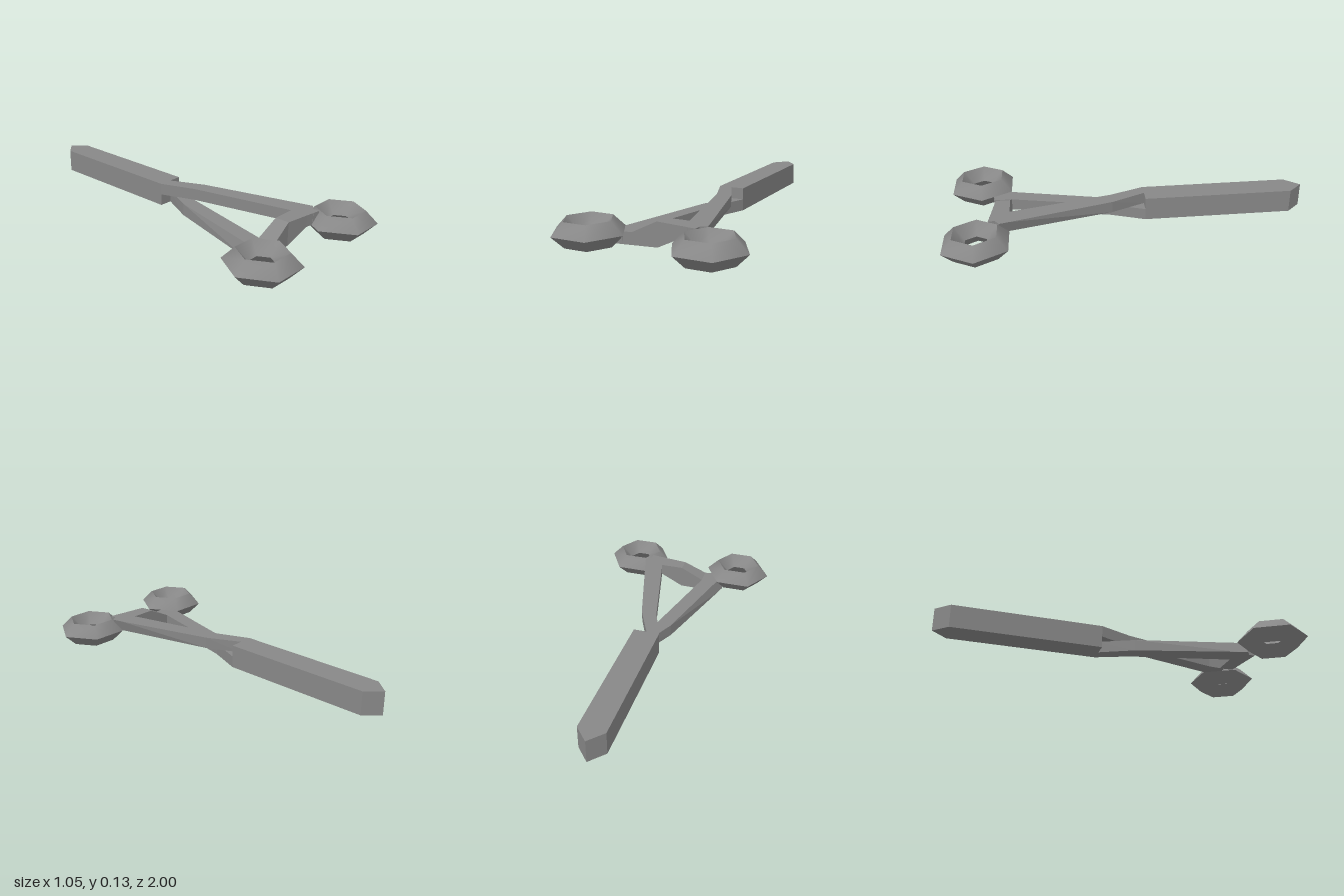
import * as THREE from 'three';
import { toCreasedNormals } from 'three/addons/utils/BufferGeometryUtils.js';

const H = 0.13, M = H / 2; // full thickness and mid height

// Solid through four-cornered sections, flat shaded
function loft(sections) {
  const pos = [];
  const quad = (a, b, c, d) => pos.push(...a, ...b, ...c, ...a, ...c, ...d);
  for (let i = 0; i < sections.length - 1; i++) {
    const s = sections[i], e = sections[i + 1];
    for (let j = 0; j < 4; j++) {
      const k = (j + 1) % 4;
      quad(s[j], s[k], e[k], e[j]);
    }
  }
  quad(...[...sections[0]].reverse());
  quad(...sections[sections.length - 1]);
  const g = new THREE.BufferGeometry();
  g.setAttribute('position', new THREE.Float32BufferAttribute(pos, 3));
  g.computeVertexNormals();
  return g;
}

export function createModel() {
  const model = new THREE.Group();
  model.name = 'surgicalClamp';
  const steel = new THREE.MeshStandardMaterial({ color: 0x888888 });
  steel.name = 'steel grey';
  const add = (parent, name, geometry) => {
    const mesh = new THREE.Mesh(geometry, steel);
    mesh.name = name;
    parent.add(mesh);
    return mesh;
  };

  // Closed jaws with a pointed tip
  const outline = new THREE.Shape([[-0.073, 0.088], [0.073, 0.088], [0.073, 0.92], [0, 1], [-0.073, 0.92]]
    .map(([x, y]) => new THREE.Vector2(x, y)));
  const jaws = new THREE.ExtrudeGeometry(outline, { depth: H, bevelEnabled: false });
  add(model, 'jaws', jaws.rotateX(-Math.PI / 2));

  // One handle half; the other is the same half turned over about the long axis
  for (const side of ['left', 'right']) {
    const half = new THREE.Group();
    half.name = side + 'Handle';
    if (side === 'right') {
      half.rotation.z = Math.PI;
      half.position.y = H;
    }
    model.add(half);

    // Arm crossing at the pivot: inner x, z, outer x, z, lower outer x
    const arm = [
      [-0.073, -0.088, 0, -0.088, 0],
      [0, 0.1, 0.088, 0.1, 0.085],
      [0.132, 0.66, 0.245, 0.66, 0.225],
      [0.18, 0.765, 0.258, 0.71, 0.24],
    ].map(([xi, zi, xo, zo, xb]) => [[xi, M, zi], [xb, M, zo], [xo, H, zo], [xi, H, zi]]);
    add(half, 'arm', loft(arm));

    // Locking bar, deepening towards the middle: x, lower y, front z
    const bar = [[0, 0, 0.74], [0.132, M, 0.757], [0.225, M, 0.77]]
      .map(([x, y, z]) => [[x, y, z], [x, y, 0.66], [x, H, 0.66], [x, H, z]]);
    add(half, 'lockingBar', loft(bar));

    // Six-sided finger ring with a diamond section
    const ring = new THREE.TorusGeometry(0.13, 0.065, 4, 6).rotateX(Math.PI / 2);
    add(half, 'fingerRing', toCreasedNormals(ring, 1)).position.set(0.328, M, 0.831);
  }
  return model;
}
